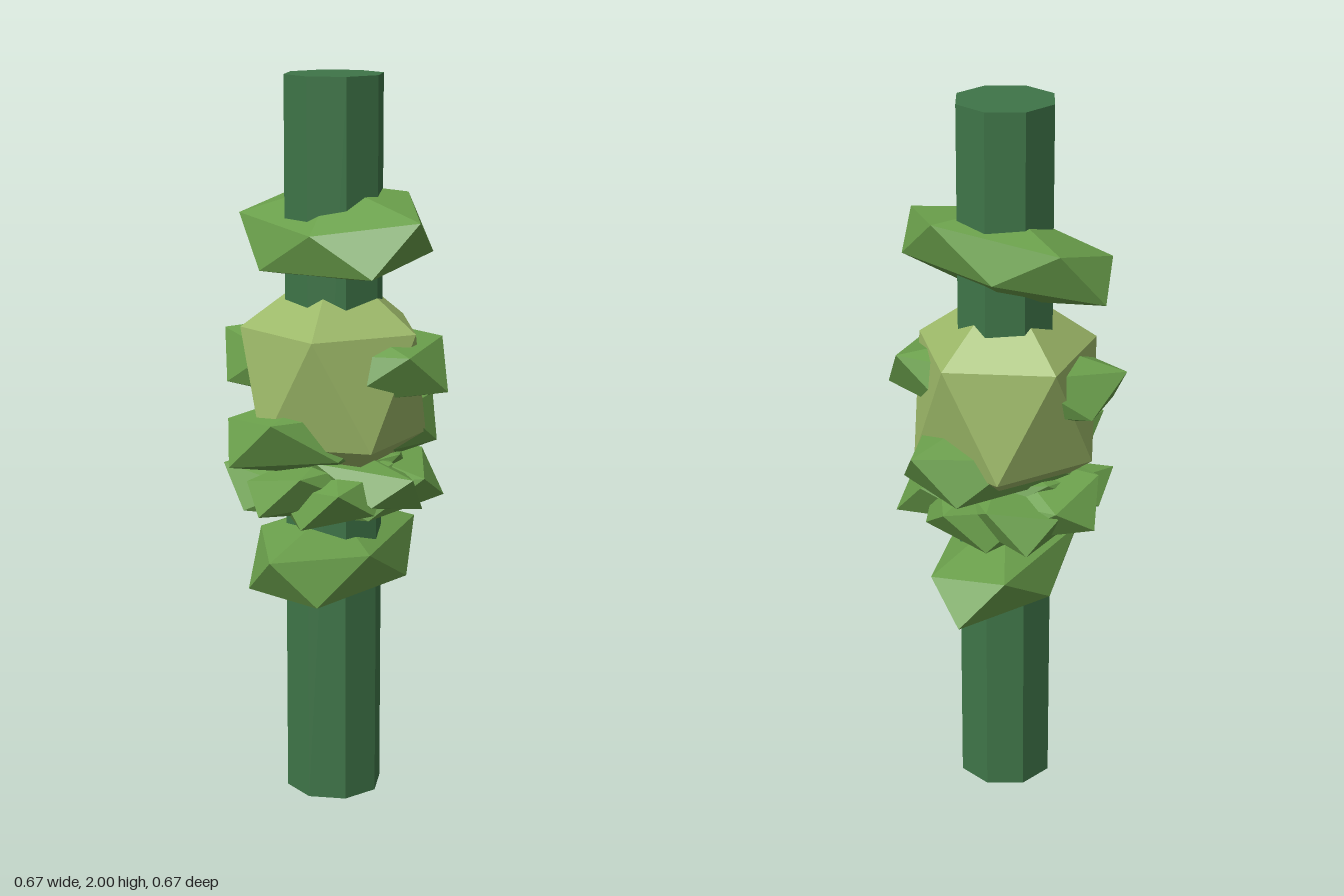
import * as THREE from 'three';
import { ConvexGeometry } from 'three/addons/geometries/ConvexGeometry.js';

// Twelve corners of a stretched icosahedron standing on a point.
// long/short: ring radii, half: ring height, angle: turn from +x to +z, tilt: slope across the long axis
function gemPoints(long, short, half, angle, tilt) {
  const points = [];
  const c = Math.cos(angle), s = Math.sin(angle);
  for (const sign of [1, -1]) {
    points.push(new THREE.Vector3(0, sign * half * Math.sqrt(5), 0));
    for (let k = 0; k < 5; k++) {
      const a = (k * Math.PI * 2) / 5;
      const u = long * Math.cos(a), v = short * Math.sin(a);
      points.push(new THREE.Vector3(u * c - v * s, half + tilt * v, u * s + v * c).multiplyScalar(sign));
    }
  }
  return points;
}

export function createModel() {
  const model = new THREE.Group();
  const material = (name, color) => {
    const m = new THREE.MeshStandardMaterial({ color });
    m.name = name;
    return m;
  };
  const stemGreen = material('stemGreen', 0x3f7548);
  const leafGreen = material('leafGreen', 0x6a9f4b);
  const paleGreen = material('paleGreen', 0x9cb868);

  const add = (name, geometry, mat, y) => {
    const mesh = new THREE.Mesh(geometry, mat);
    mesh.name = name;
    mesh.position.y = y;
    model.add(mesh);
  };
  const gem = (name, mat, y, long, short, half, degrees, tilt) =>
    add(name, new ConvexGeometry(gemPoints(long, short, half, THREE.MathUtils.degToRad(degrees), tilt)), mat, y);

  // Eight-sided stem
  add('stem', new THREE.CylinderGeometry(0.135, 0.135, 2, 8).toNonIndexed(), stemGreen, 1);
  const stem = model.children[0];
  stem.geometry.computeVertexNormals();

  // Pale swelling in the middle
  gem('paleBulb', paleGreen, 1.18, 0.253, 0.253, 0.15, 0, 0);

  // Large flattened leaf clumps: height, turn, tilt
  [
    [1.585, 18, -0.25],
    [1.237, 175, 0.1],
    [1.04, -65.5, 0.1],
    [0.69, 89, 0.09],
  ].forEach(([y, turn, tilt], i) => gem(`leafClump${i + 1}`, leafGreen, y, 0.337, 0.182, 0.058, turn, tilt));

  // Smaller crossing clumps forming the jagged collar
  [
    [0.9, 149, 0.2],
    [0.89, 56.6, -0.2],
    [0.91, 15, 0.22],
    [0.9, -80, 0.2],
  ].forEach(([y, turn, tilt], i) => gem(`collarClump${i + 1}`, leafGreen, y, 0.303, 0.165, 0.045, turn, tilt));

  return model;
}
